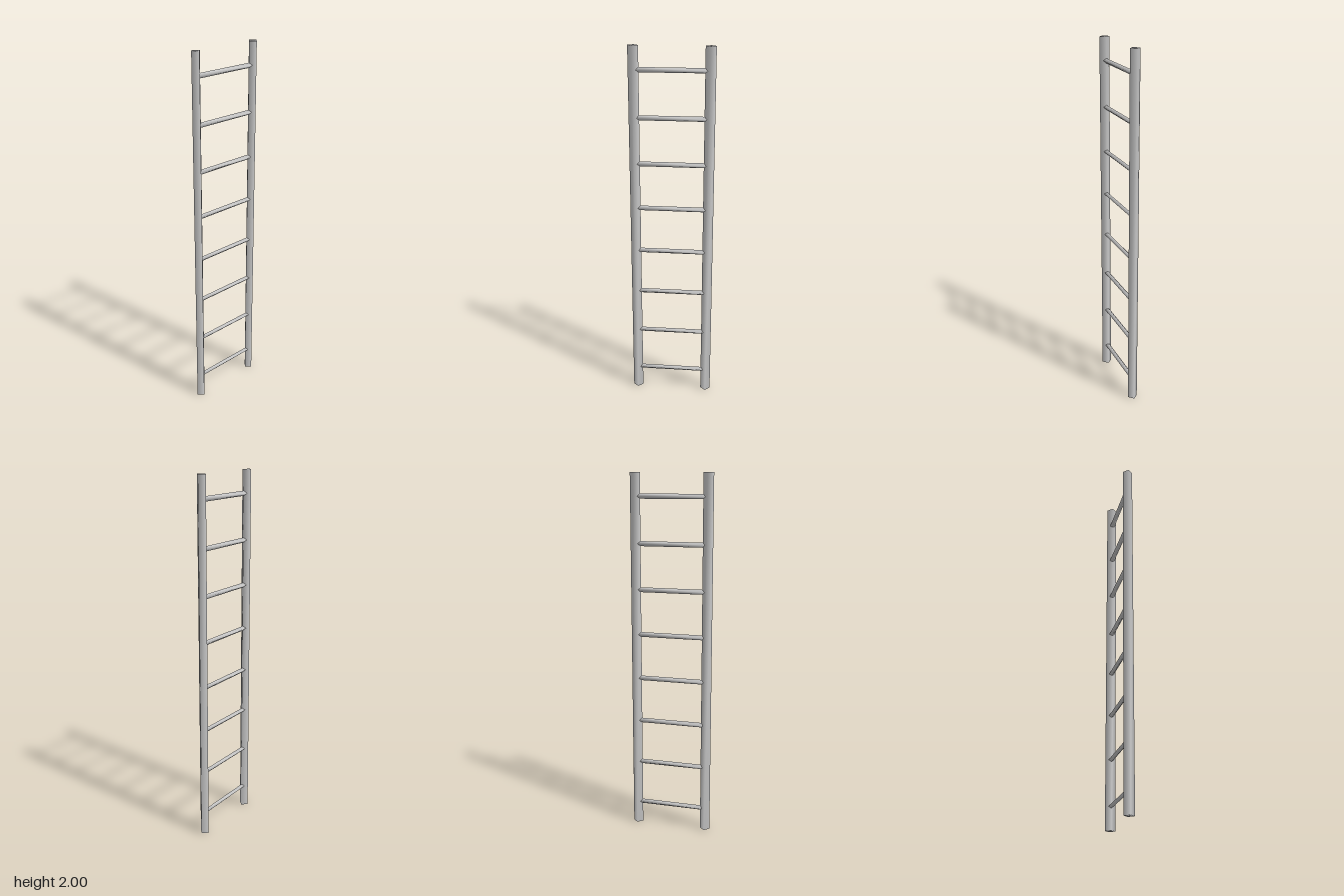
import * as THREE from 'three';
import { mergeVertices } from 'three/addons/utils/BufferGeometryUtils.js';

const material = new THREE.MeshStandardMaterial({ color: 0xcccccc });

// Four-sided bar with its edges on the axes, shaded smoothly across sides and caps
function bar(radius, length) {
  const geometry = new THREE.CylinderGeometry(radius, radius, length, 4);
  geometry.deleteAttribute('normal');
  geometry.deleteAttribute('uv');
  const merged = mergeVertices(geometry);
  merged.computeVertexNormals();
  return merged;
}

export function createModel() {
  const ladder = new THREE.Group();
  ladder.name = 'ladder';
  const spread = 0.2;

  // Upright rails
  const railGeometry = bar(0.028, 2);
  for (const side of [1, -1]) {
    const rail = new THREE.Mesh(railGeometry, material);
    rail.name = side > 0 ? 'frontRail' : 'backRail';
    rail.position.set(0, 1, side * spread);
    ladder.add(rail);
  }

  // Evenly spaced rungs, ending inside the rails
  const rungGeometry = bar(0.0135, spread * 2).rotateX(Math.PI / 2);
  for (let i = 0; i < 8; i++) {
    const rung = new THREE.Mesh(rungGeometry, material);
    rung.name = `rung${i + 1}`;
    rung.position.y = 0.126 + i * 0.25;
    ladder.add(rung);
  }

  return ladder;
}
